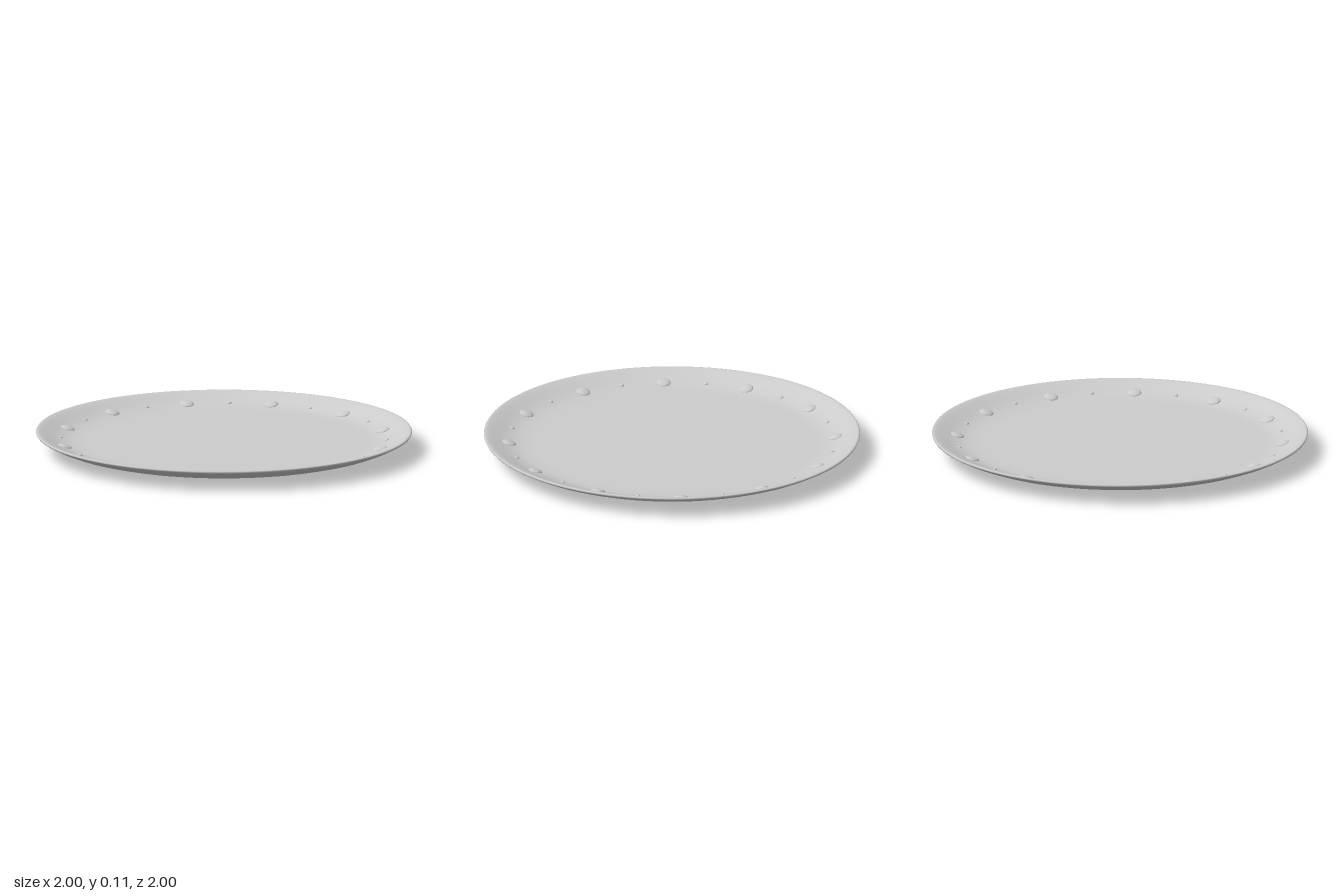
import * as THREE from 'three';

export function createModel() {
  const plate = new THREE.Group();
  plate.name = 'plate';
  const glaze = new THREE.MeshStandardMaterial({ color: 0xcccccc });
  glaze.name = 'pale grey glaze';

  // Profile from the underside centre, out over the foot and rim, back to the top centre
  const profile = [
    [0, 0.02], [0.38, 0.02], [0.44, 0.016], [0.5, 0.006], [0.53, 0.003], [0.56, 0.004],
    [0.57, 0.007], [0.595, 0.02], [0.61, 0.022], [0.7, 0.026], [0.78, 0.032],
    [0.85, 0.046], [0.9, 0.06], [0.95, 0.08], [0.985, 0.098], [0.997, 0.105],
    [1, 0.111], [0.997, 0.116], [0.99, 0.117], [0.975, 0.113], [0.95, 0.104],
    [0.91, 0.087], [0.87, 0.073], [0.83, 0.064], [0.79, 0.06], [0.74, 0.059], [0, 0.059],
  ].map(([r, y]) => new THREE.Vector2(r, y));
  const dish = new THREE.Mesh(new THREE.LatheGeometry(profile, 96), glaze);
  dish.name = 'dish';
  plate.add(dish);

  // Low raised dots around the rim, large and small in turn
  const dome = new THREE.SphereGeometry(1, 24, 12);
  for (let i = 0; i < 24; i++) {
    const large = i % 2 === 0;
    const angle = (i * Math.PI) / 12;
    const radius = large ? 0.038 : 0.012;
    const dot = new THREE.Mesh(dome, glaze);
    dot.name = large ? 'largeRimDot' : 'smallRimDot';
    dot.scale.set(radius, large ? 0.012 : 0.007, radius);
    dot.position.set(0.867 * Math.sin(angle), 0.073, 0.867 * Math.cos(angle));
    // Tilt each dot with the slope of the rim
    dot.rotation.set(-0.26, angle, 0, 'YXZ');
    plate.add(dot);
  }
  return plate;
}
